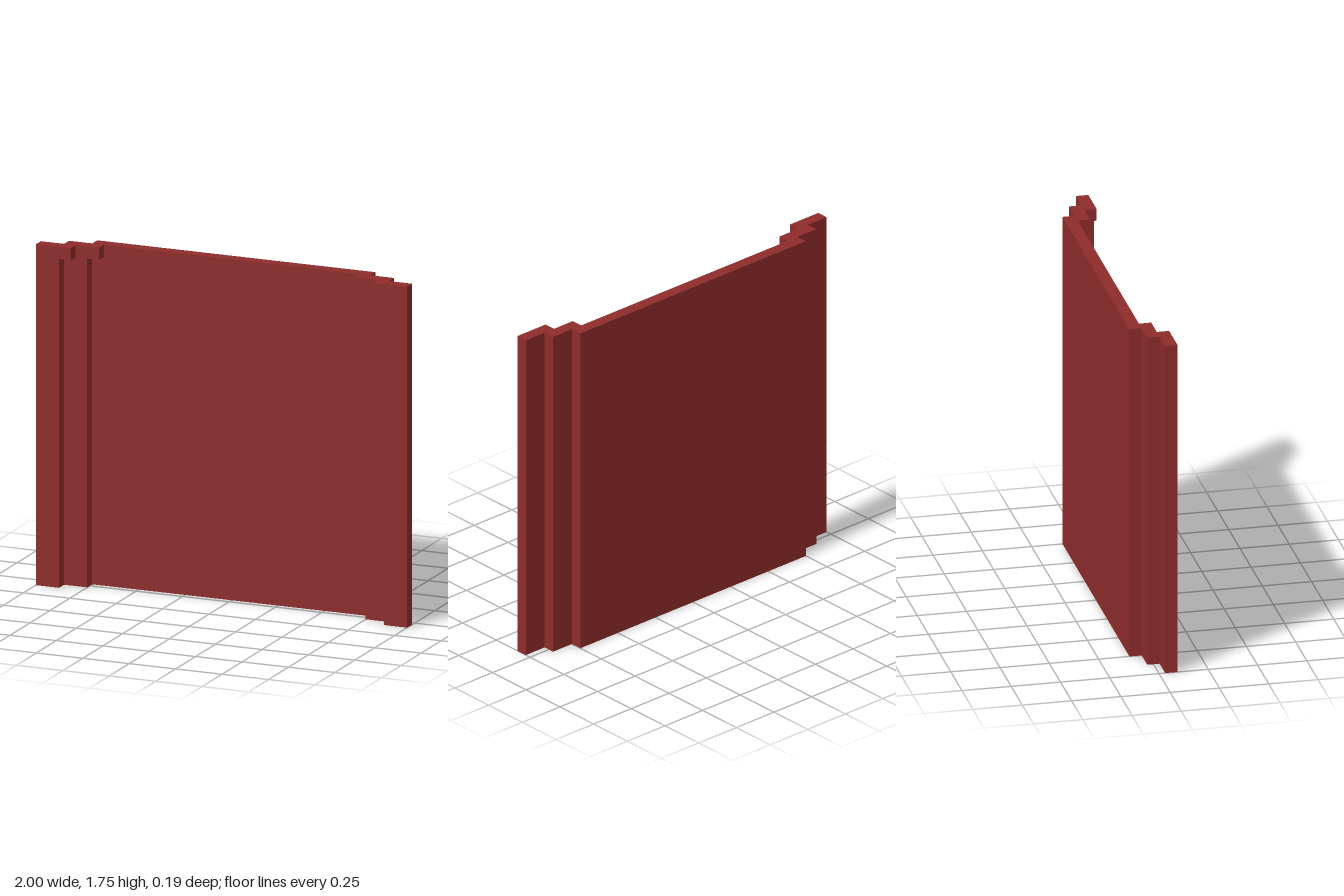
import * as THREE from 'three';

const HEIGHT = 1.75;
const LIP = 0.0625; // layer thickness, also lip width and height

export function createModel() {
  const group = new THREE.Group();
  group.name = 'steppedWallPanel';
  const red = new THREE.MeshStandardMaterial({ color: 0x8f2c2c });
  red.name = 'darkRed';

  // Wide back panel
  const panel = new THREE.Mesh(new THREE.BoxGeometry(1.5, HEIGHT, LIP), red);
  panel.name = 'backPanel';
  panel.position.set(0, HEIGHT / 2, -LIP);
  group.add(panel);

  // Upright strip with a small lip at its top pointing to the middle
  function addStrip(name, side, inner, outer, zBack) {
    const points = [
      [inner, 0], [outer, 0], [outer, HEIGHT], [inner - LIP, HEIGHT],
      [inner - LIP, HEIGHT - LIP], [inner, HEIGHT - LIP],
    ].map(([x, y]) => new THREE.Vector2(side * x, y));
    const geometry = new THREE.ExtrudeGeometry(new THREE.Shape(points), {
      depth: LIP, bevelEnabled: false,
    });
    const strip = new THREE.Mesh(geometry, red);
    strip.name = name;
    strip.position.z = zBack;
    group.add(strip);
  }

  // Two steps forward on each side
  for (const [label, side] of [['left', 1], ['right', -1]]) {
    addStrip(label + 'MiddleStrip', side, 0.75, 0.875, -LIP / 2);
    addStrip(label + 'OuterStrip', side, 0.875, 1, LIP / 2);
  }
  return group;
}
